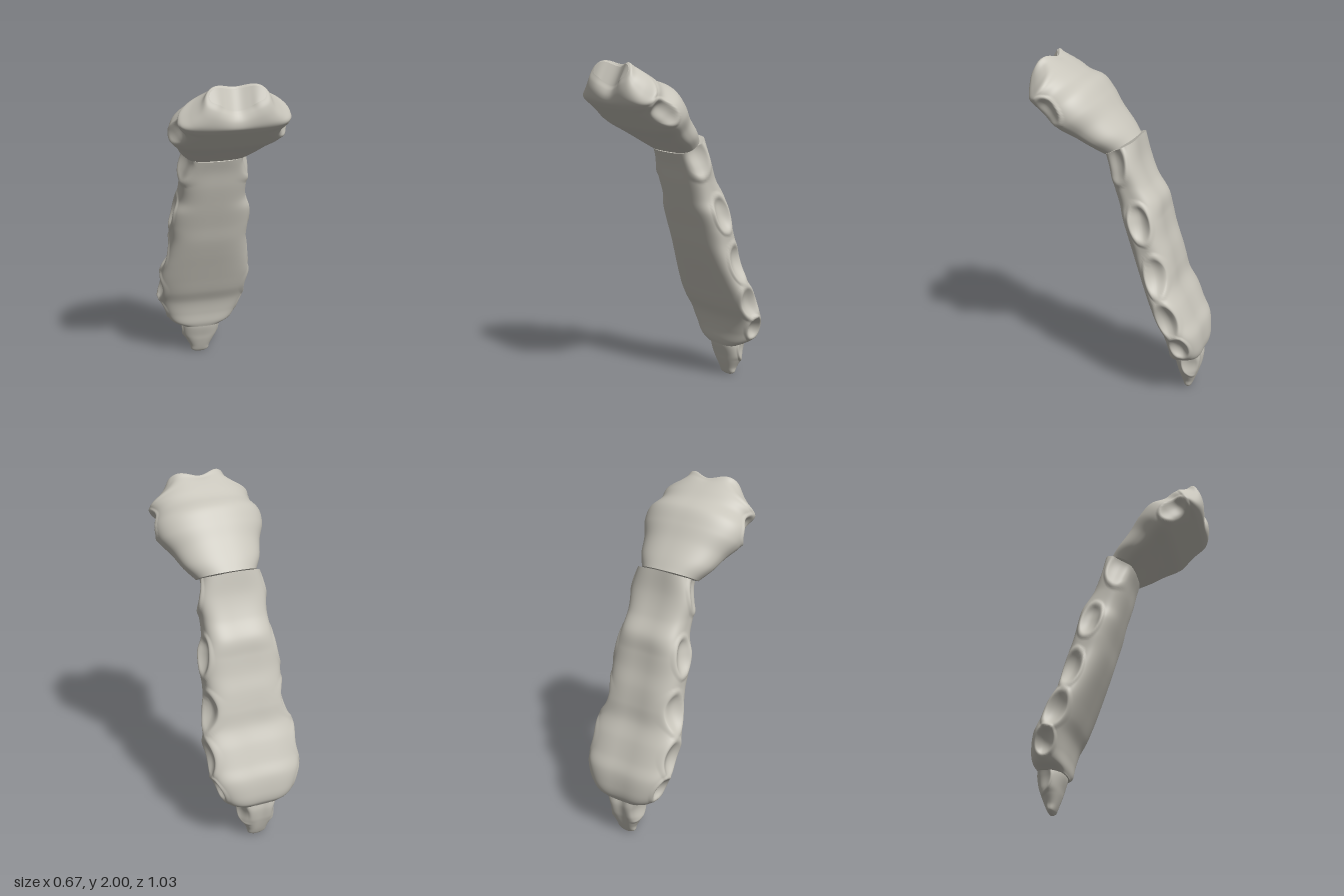
import * as THREE from 'three';

const N = 128; // points around each cross-section

// Concave joint facets on both sides: centre y, z, long axis (y, z), long and short radius, depth
const bodyDents = [
  [1.43, 0.0, 0.95, 0.2, 0.1, 0.062, 0.035],
  [1.095, -0.16, 0.95, 0.3, 0.1, 0.055, 0.04],
  [0.79, -0.265, 0.95, 0.25, 0.105, 0.055, 0.04],
  [0.535, -0.34, 0.9, 0.4, 0.1, 0.058, 0.04],
  [0.355, -0.41, 0.9, 0.3, 0.07, 0.05, 0.04],
];
const headDents = [
  [1.735, 0.35, 0.656, 0.755, 0.08, 0.052, 0.035],
  [1.905, 0.46, 0.9, -0.4, 0.11, 0.065, 0.03],
];
const tipDents = [[0.18, -0.45, 0.95, 0.25, 0.07, 0.045, 0.02]];

// Cross-sections from bottom to top: front y, front z, back y, back z, half width
const bodyRows = [
  [0.215, -0.325, 0.235, -0.485, 0.13],
  [0.25, -0.315, 0.27, -0.505, 0.195],
  [0.32, -0.308, 0.33, -0.508, 0.235],
  [0.41, -0.288, 0.42, -0.493, 0.268],
  [0.5, -0.245, 0.5, -0.453, 0.28],
  [0.6, -0.205, 0.6, -0.408, 0.285],
  [0.7, -0.165, 0.7, -0.357, 0.267],
  [0.8, -0.125, 0.8, -0.335, 0.25],
  [0.9, -0.088, 0.9, -0.31, 0.237],
  [1.0, -0.058, 1.0, -0.277, 0.24],
  [1.1, -0.025, 1.1, -0.255, 0.235],
  [1.18, 0.0, 1.2, -0.235, 0.205],
  [1.28, 0.03, 1.3, -0.17, 0.2],
  [1.38, 0.055, 1.42, -0.12, 0.21],
  [1.46, 0.083, 1.555, -0.093, 0.18],
];
const headRows = [
  [1.465, 0.085, 1.555, -0.08, 0.185],
  [1.515, 0.16, 1.615, -0.035, 0.235],
  [1.565, 0.24, 1.705, 0.04, 0.272],
  [1.615, 0.32, 1.79, 0.1, 0.322],
  [1.665, 0.38, 1.865, 0.165, 0.33],
  [1.715, 0.44, 1.9, 0.25, 0.3],
  [1.75, 0.48, 1.935, 0.31, 0.307],
  [1.785, 0.507, 1.97, 0.365, 0.272],
  [1.835, 0.518, 1.995, 0.4, 0.232],
  [1.88, 0.515, 2.02, 0.43, 0.2],
  [1.915, 0.5, 2.015, 0.45, 0.172],
];
const tipRows = [
  [0, -0.405, 0, -0.428, 0.03],
  [0.015, -0.392, 0.015, -0.44, 0.055],
  [0.05, -0.378, 0.05, -0.457, 0.065],
  [0.1, -0.362, 0.1, -0.475, 0.092],
  [0.14, -0.352, 0.14, -0.487, 0.112],
  [0.2, -0.335, 0.2, -0.497, 0.12],
  [0.245, -0.33, 0.25, -0.495, 0.118],
];

// Push the side surface inwards inside each facet ellipse, with a faint raised rim
function dent(p, w, dents) {
  const ax = Math.abs(p.x);
  let shift = 0;
  for (const [y, z, dy, dz, long, short, depth] of dents) {
    const len = Math.hypot(dy, dz), u = (p.y - y) / len, v = (p.z - z) / len;
    const d = Math.hypot((u * dy + v * dz) / long, (v * dy - u * dz) / short);
    if (d < 1) shift -= depth * (1 - d * d);
    else if (d < 1.4) shift += 0.006 * Math.sin((d - 1) / 0.4 * Math.PI);
  }
  p.x += Math.sign(p.x) * shift * THREE.MathUtils.smoothstep(ax / w, 0.4, 0.85);
}

// Smooth loft through the rows, with a rounded section and flat ends;
// e sets how boxy the section is, skew moves its side edges towards the front
function loft(rows, dents, { e, shape, skew = 0, steps = 10 }) {
  const curve = (y, z) => new THREE.CatmullRomCurve3(
    rows.map(r => new THREE.Vector3(r[4], r[y], r[z])), false, 'catmullrom', 0.5);
  const front = curve(0, 1), back = curve(2, 3);
  const M = (rows.length - 1) * steps;
  const pos = [], index = [];
  const pow = v => Math.sign(v) * Math.abs(v) ** e;
  for (let i = 0; i <= M; i++) {
    const f = front.getPoint(i / M), b = back.getPoint(i / M), w = f.x;
    for (let j = 0; j < N; j++) {
      const a = j / N * Math.PI * 2, c = Math.cos(a), s = Math.sin(a);
      const p = f.clone().lerp(b, (pow(s) + 1) / 2 - skew * c * c);
      p.x = w * pow(c);
      shape(p, i / M, s);
      dent(p, w, dents);
      pos.push(p.x, p.y, p.z);
    }
  }
  for (let i = 0; i < M; i++) for (let j = 0; j < N; j++) {
    const a = i * N + j, b = i * N + (j + 1) % N;
    index.push(a, b, a + N, b, b + N, a + N);
  }
  // End caps: strips from back to front on their own copy of the ring
  for (const [row, top] of [[0, false], [M, true]]) {
    const base = pos.length / 3;
    pos.push(...pos.slice(row * N * 3, (row + 1) * N * 3));
    for (let j = 0; j < N / 2; j++) {
      const a = base + j, b = a + 1, c = base + N - j - 1, d = base + (N - j) % N;
      if (top) index.push(a, b, c, a, c, d);
      else index.push(a, c, b, a, d, c);
    }
  }
  const g = new THREE.BufferGeometry();
  g.setAttribute('position', new THREE.Float32BufferAttribute(pos, 3));
  g.setIndex(index);
  g.computeVertexNormals();
  return g;
}

export function createModel() {
  const bone = new THREE.MeshStandardMaterial({ color: 0xc8c5bb });
  bone.name = 'bone grey';
  const group = new THREE.Group();
  group.name = 'breastbone';
  const add = (name, geometry) => {
    const mesh = new THREE.Mesh(geometry, bone);
    mesh.name = name;
    group.add(mesh);
  };

  // Long middle plate, slightly hollow along the back
  add('body', loft(bodyRows, bodyDents, {
    e: 0.66,
    shape: (p, t, s) => { if (s > 0) p.z -= 0.01 * s * (1 - Math.exp(-((p.x / 0.1) ** 2))); },
  }));

  // Broad upper plate with a wide shallow notch in the top edge
  add('upperPlate', loft(headRows, headDents, {
    e: 0.84,
    skew: 0.14,
    shape: (p, t) => {
      const k = 0.045 * THREE.MathUtils.smoothstep(t, 0.6, 1) * Math.exp(-((p.x / 0.09) ** 2));
      p.y -= k;
      p.z -= k * 0.7;
    },
  }));

  // Small pointed tip with a shallow groove down the back
  add('lowerTip', loft(tipRows, tipDents, {
    e: 0.8,
    shape: (p, t, s) => { if (s > 0) p.z += 0.018 * t * s * Math.exp(-((p.x / 0.04) ** 2)); },
  }));
  return group;
}
